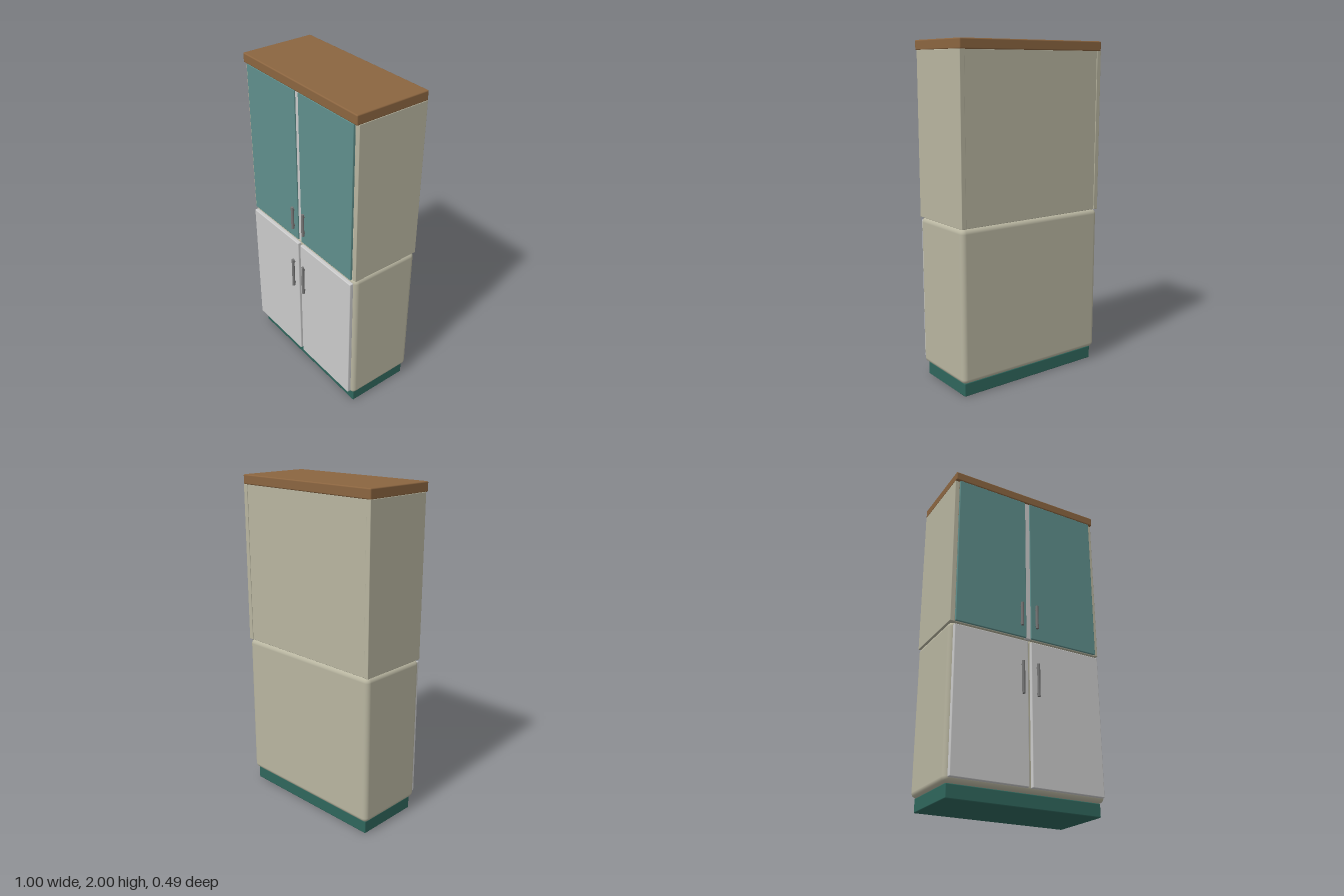
import * as THREE from 'three';
import { RoundedBoxGeometry } from 'three/addons/geometries/RoundedBoxGeometry.js';

const mat = (color) => new THREE.MeshStandardMaterial({ color });

export function createModel() {
  const group = new THREE.Group();
  const cream = mat(0xb8b5a0), wood = mat(0x8b6540), green = mat(0x2f665c);
  const glass = mat(0x5f8f8c), grey = mat(0xcccccc), metal = mat(0x777777);

  // Box given by its limits on each axis, with softened edges
  function box(name, material, [x0, x1], [y0, y1], [z0, z1], radius = 0.003) {
    const geometry = new RoundedBoxGeometry(x1 - x0, y1 - y0, z1 - z0, 3, radius);
    const mesh = new THREE.Mesh(geometry, material);
    mesh.name = name;
    mesh.position.set((x0 + x1) / 2, (y0 + y1) / 2, (z0 + z1) / 2);
    group.add(mesh);
  }

  // Bar handle on two short posts
  function handle(name, x, y0, y1, doorZ) {
    const g = new THREE.Group();
    g.name = name;
    const bar = new THREE.Mesh(new THREE.CylinderGeometry(0.009, 0.009, y1 - y0, 16), metal);
    bar.name = 'handleBar';
    bar.position.set(x, (y0 + y1) / 2, doorZ + 0.013);
    g.add(bar);
    for (const y of [y0 + 0.02, y1 - 0.02]) {
      const post = new THREE.Mesh(new THREE.CylinderGeometry(0.006, 0.006, 0.014, 12), metal);
      post.name = 'handlePost';
      post.rotation.x = Math.PI / 2;
      post.position.set(x, y, doorZ + 0.006);
      g.add(post);
    }
    group.add(g);
  }

  // Plinth, lower cabinet and top board
  box('plinth', green, [-0.48, 0.48], [0, 0.08], [-0.225, 0.18], 0.006);
  box('lowerCabinet', cream, [-0.5, 0.5], [0.08, 0.985], [-0.246, 0.203], 0.03);
  box('topBoard', wood, [-0.5, 0.5], [1.943, 2], [-0.247, 0.22], 0.007);

  // Upper cabinet shell
  box('upperBack', cream, [-0.475, 0.475], [0.985, 1.945], [-0.242, -0.222]);
  box('upperFloor', cream, [-0.475, 0.475], [0.985, 1.005], [-0.23, 0.2]);
  box('centreDivider', grey, [-0.02, 0.02], [0.985, 1.945], [0.185, 0.21]);

  // Mirrored sides, doors and handles
  for (const s of [-1, 1]) {
    const span = (a, b) => (s > 0 ? [a, b] : [-b, -a]);
    const side = s > 0 ? 'left' : 'right';
    box(side + 'UpperSide', cream, span(0.47, 0.5), [0.985, 1.945], [-0.246, 0.203]);
    box(side + 'GlassDoor', glass, span(0.016, 0.472), [0.987, 1.943], [0.203, 0.218]);
    box(side + 'LowerDoor', grey, span(0.01, 0.48), [0.103, 0.962], [0.2, 0.225], 0.005);
    handle(side + 'UpperHandle', s * 0.05, 1.055, 1.205, 0.218);
    handle(side + 'LowerHandle', s * 0.05, 0.625, 0.825, 0.225);
  }
  return group;
}
